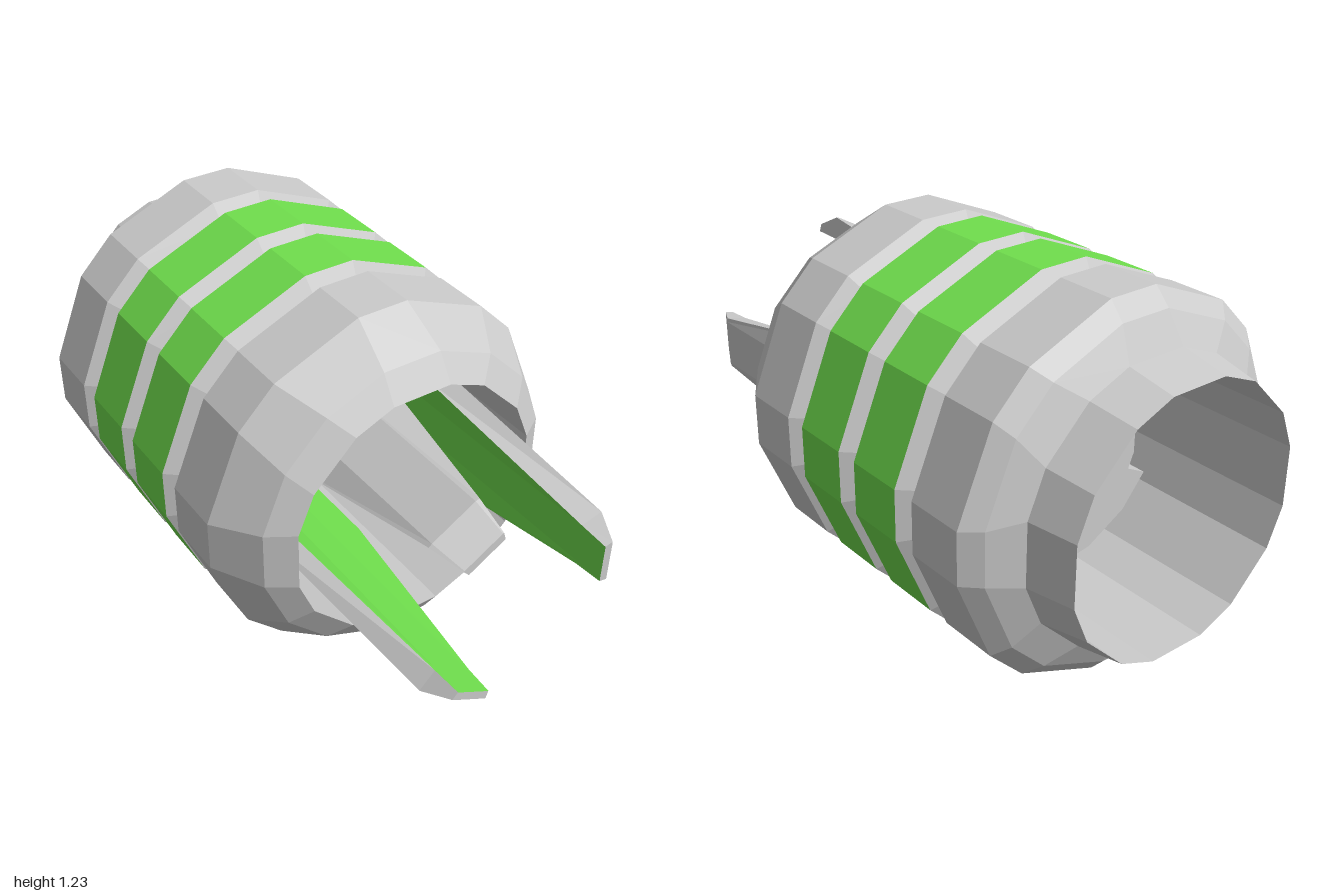
import * as THREE from 'three';

const grey = new THREE.MeshStandardMaterial({ color: 0xcccccc, flatShading: true, side: THREE.DoubleSide });
const green = new THREE.MeshStandardMaterial({ color: 0x70df4d, flatShading: true, side: THREE.DoubleSide });
const CENTRE_Y = 0.615;
const rad = THREE.MathUtils.degToRad;

const polar = (r, deg, z) => [r * Math.cos(rad(deg)), r * Math.sin(rad(deg)), z];

// Sixteen-sided ring: corners paired either side of each 45 degree direction
function ring(z, r, spread) {
  const points = [];
  for (let k = 0; k < 8; k++) {
    points.push(polar(r, 45 * k - spread, z), polar(r, 45 * k + spread, z));
  }
  return points;
}

// Faceted mesh from a list of quads
function quadMesh(name, quads, material) {
  const pos = [];
  for (const [a, b, c, d] of quads) pos.push(...a, ...b, ...c, ...a, ...c, ...d);
  const geometry = new THREE.BufferGeometry();
  geometry.setAttribute('position', new THREE.Float32BufferAttribute(pos, 3));
  geometry.computeVertexNormals();
  const mesh = new THREE.Mesh(geometry, material);
  mesh.name = name;
  return mesh;
}

// Quads joining closed loops, listed front to back for outward faces
function loft(loops, keep = () => true) {
  const quads = [];
  for (let s = 0; s < loops.length - 1; s++) {
    const a = loops[s], b = loops[s + 1], n = a.length;
    for (let i = 0; i < n; i++) {
      const j = (i + 1) % n;
      if (keep(i)) quads.push([a[i], b[i], b[j], a[j]]);
    }
  }
  return quads;
}

const shell = (name, profile, material) =>
  quadMesh(name, loft(profile.map((p) => ring(...p))), material);

// Three-facet arc section: outer edge anticlockwise, then inner edge back
function section(z, inner, outer, mid, wing, innerWing = inner * 1.06, outerWing = outer) {
  return [
    polar(outerWing, -wing, z), polar(outer, -mid, z), polar(outer, mid, z), polar(outerWing, wing, z),
    polar(innerWing, wing, z), polar(inner, mid, z), polar(inner, -mid, z), polar(innerWing, -wing, z),
  ];
}

const cap = (s, front) => [0, 1, 2].map((i) => {
  const q = [s[i], s[i + 1], s[6 - i], s[7 - i]];
  return front ? q : q.reverse();
});

const isInner = (i) => i >= 4 && i <= 6;

// One tapering prong with a foot that meets the hub
function prong() {
  const g = new THREE.Group();
  g.name = 'prong';
  const arm = [
    section(1.0, 0.312, 0.34, 12, 12.6, 0.312),
    section(0.9, 0.312, 0.39, 12, 14, 0.314),
    section(0.18, 0.312, 0.39, 12.5, 33, 0.333, 0.395),
    section(-0.5, 0.312, 0.39, 12.5, 33, 0.333, 0.395),
  ];
  g.add(quadMesh('prongArm', [
    ...loft(arm, (i) => !isInner(i)), ...cap(arm[0], true), ...cap(arm[3], false),
  ], grey));
  g.add(quadMesh('prongInnerFace', loft(arm, isInner), green));

  const foot = [-0.36, -0.5].map((z) => section(z, 0.22, 0.318, 14, 33, 0.235, 0.335));
  const front = cap(foot[0], true);
  g.add(quadMesh('prongFoot', [...loft(foot), front[0], front[2], ...cap(foot[1], false)], grey));
  g.add(quadMesh('prongFootPanel', [front[1]], green));
  return g;
}

export function createModel() {
  const model = new THREE.Group();
  model.name = 'bandedSleeve';
  const body = new THREE.Group();
  body.name = 'body';
  body.position.y = CENTRE_Y;
  model.add(body);

  // Outer casing with V grooves
  const R = 0.62, G = 0.555, S = 8;
  body.add(shell('frontCollar', [
    [0.505, 0.44, 13.3], [0.45, 0.525, 11], [0.3, R, S], [0.1, R, S], [0.06, G, S], [0.02, R, S],
  ], grey));
  body.add(shell('middleGroove', [[-0.18, R, S], [-0.22, G, S], [-0.26, R, S]], grey));
  body.add(shell('rearCollar', [
    [-0.46, R, S], [-0.5, G, S], [-0.54, R, S], [-0.74, R, S],
    [-0.79, 0.565, 9], [-0.84, 0.467, 13], [-1, 0.437, 13.3],
  ], grey));

  // Coloured bands
  for (const z of [0.02, -0.26]) {
    body.add(shell('colourBand', [[z, R, S], [z - 0.2, R, S]], green));
  }

  // Bore through the casing
  body.add(shell('innerWall', [[-1, 0.437, 13.3], [0.505, 0.44, 13.3]], grey));

  // Central hub ring
  const H = 11.25;
  body.add(shell('hub', [
    [-0.35, 0.19, H], [-0.35, 0.215, H], [-0.4, 0.25, H], [-0.55, 0.25, H], [-0.55, 0.155, H], [-0.43, 0.155, H],
  ], grey));
  body.add(shell('hubChamfer', [[-0.43, 0.155, H], [-0.35, 0.19, H]], green));

  // Three prongs around the hub
  for (let k = 0; k < 3; k++) {
    const p = prong();
    p.rotation.z = rad(120 * k);
    body.add(p);
  }
  return model;
}
